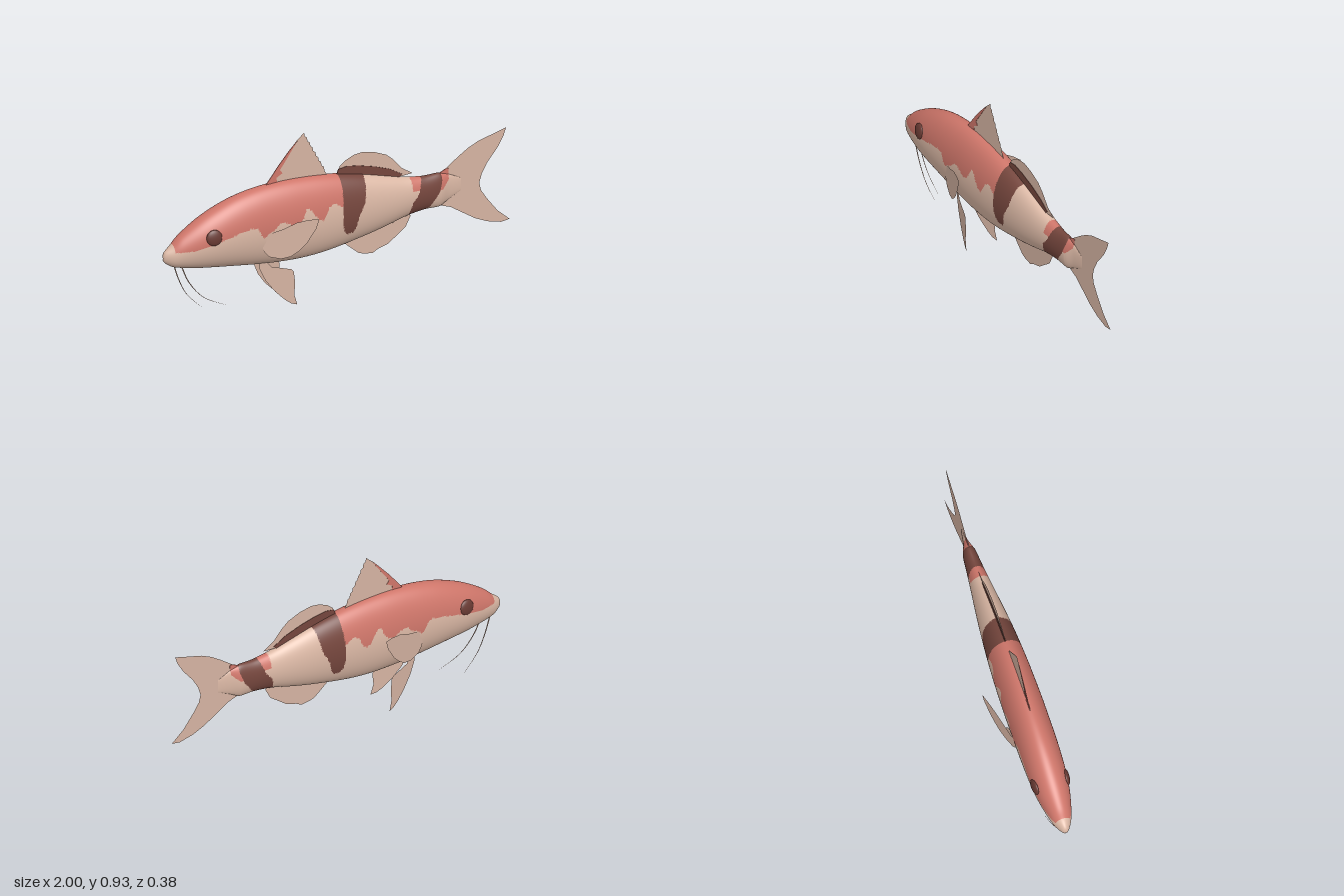
import * as THREE from 'three';

const mat = (name, color, side = THREE.FrontSide) => {
  const m = new THREE.MeshStandardMaterial({ color, side });
  m.name = name;
  return m;
};

// piecewise linear lookup through [key, value] pairs
function lerpTable(pts, k) {
  if (k <= pts[0][0]) return pts[0][1];
  for (let i = 1; i < pts.length; i++) {
    const [a, va] = pts[i - 1], [b, vb] = pts[i];
    if (k <= b) return va + (vb - va) * (k - a) / (b - a);
  }
  return pts[pts.length - 1][1];
}

// body stations: x, top, bottom, half width
const STATIONS = [
  [-1, 0.376, 0.368, 0.003], [-0.99, 0.407, 0.347, 0.018], [-0.95, 0.44, 0.319, 0.043],
  [-0.9, 0.487, 0.304, 0.062], [-0.8, 0.553, 0.284, 0.086], [-0.7, 0.602, 0.269, 0.098],
  [-0.6, 0.638, 0.255, 0.103], [-0.5, 0.66, 0.241, 0.105], [-0.4, 0.672, 0.229, 0.105],
  [-0.3, 0.676, 0.222, 0.105], [-0.2, 0.673, 0.22, 0.103], [-0.1, 0.665, 0.226, 0.1],
  [0, 0.651, 0.24, 0.095], [0.1, 0.631, 0.259, 0.088], [0.2, 0.605, 0.28, 0.079],
  [0.3, 0.577, 0.305, 0.068], [0.4, 0.55, 0.332, 0.056], [0.5, 0.535, 0.346, 0.045],
  [0.58, 0.536, 0.344, 0.037], [0.605, 0.53, 0.35, 0.031], [0.65, 0.515, 0.375, 0.014],
  [0.72, 0.48, 0.41, 0.002],
];

// lower edge of the red back, and the front and rear edges of the dark bands by height
const RED_EDGE = [
  [-0.95, 0.41], [-0.85, 0.415], [-0.7, 0.45], [-0.62, 0.472], [-0.53, 0.49], [-0.5, 0.48],
  [-0.48, 0.44], [-0.46, 0.42], [-0.44, 0.44], [-0.4, 0.46], [-0.37, 0.49], [-0.33, 0.48],
  [-0.29, 0.455], [-0.26, 0.46], [-0.235, 0.49], [-0.22, 0.53], [-0.2, 0.53], [-0.18, 0.51],
  [-0.15, 0.46], [-0.12, 0.45], [-0.1, 0.48], [-0.085, 0.515], [-0.05, 0.53], [-0.01, 0.5],
];
const BAND1_FRONT = [[0.335, 0.025], [0.36, 0.005], [0.42, -0.005], [0.65, 0.005]];
const BAND1_REAR = [[0.335, 0.06], [0.36, 0.075], [0.42, 0.09], [0.5, 0.13], [0.62, 0.15]];
const BAND2_FRONT = [[0.34, 0.4], [0.42, 0.42], [0.46, 0.455], [0.53, 0.48]];
const BAND2_REAR = [[0.34, 0.5], [0.37, 0.53], [0.4, 0.55], [0.44, 0.58], [0.5, 0.6]];
const CREAM = 0, RED = 1, BROWN = 2;

function skinColour(x, y) {
  const f1 = lerpTable(BAND1_FRONT, y), f2 = lerpTable(BAND2_FRONT, y);
  if (y > 0.335 && x > f1 && x < lerpTable(BAND1_REAR, y)) return BROWN;
  if (x > f2 && x < lerpTable(BAND2_REAR, y)) return BROWN;
  if (x > -0.945 && x <= f1 && y > lerpTable(RED_EDGE, x)) return RED;
  if (x > 0.42 && x <= f2 && y > 0.48) return RED;
  if (x > 0.57 && x < 0.645 && y > 0.45 + Math.max(0, x - 0.6)) return RED;
  return CREAM;
}

function bodyGeometry() {
  const COLS = 300, RING = 112;
  const [top, bottom, width] = [1, 2, 3].map(
    (k) => new THREE.SplineCurve(STATIONS.map((s) => new THREE.Vector2(s[0], s[k]))));
  const pos = [], buckets = [[], [], []];
  for (let i = 0; i <= COLS; i++) {
    const t = i / COLS, p = top.getPoint(t), b = bottom.getPoint(t).y, w = width.getPoint(t).y;
    for (let j = 0; j < RING; j++) {
      const a = j / RING * Math.PI * 2;
      pos.push(p.x, (p.y + b) / 2 + (p.y - b) / 2 * Math.cos(a), w * Math.sin(a));
    }
  }
  const tri = (...v) => {
    const mean = (k) => v.reduce((s, n) => s + pos[n * 3 + k], 0) / 3;
    buckets[skinColour(mean(0), mean(1))].push(...v);
  };
  for (let i = 0; i < COLS; i++) for (let j = 0; j < RING; j++) {
    const a = i * RING + j, b = i * RING + (j + 1) % RING;
    tri(a, b, a + RING);
    tri(b, b + RING, a + RING);
  }
  const geo = new THREE.BufferGeometry();
  geo.setAttribute('position', new THREE.Float32BufferAttribute(pos, 3));
  geo.setIndex(buckets.flat());
  let start = 0;
  buckets.forEach((bk, k) => { geo.addGroup(start, bk.length, k); start += bk.length; });
  geo.computeVertexNormals();
  return geo;
}

// flat fin outline in x and y
const shapeOf = (pts) => new THREE.Shape(pts.map(([x, y]) => new THREE.Vector2(x, y)));

export function createModel() {
  const fish = new THREE.Group();
  fish.name = 'fish';
  const cream = mat('cream skin', 0xdbb8a5);
  const red = mat('red skin', 0xcf766a);
  const brown = mat('brown band', 0x75463d);
  const finSkin = mat('fin membrane', 0xd5b3a2, THREE.DoubleSide);
  const eyeMat = mat('eye brown', 0x683a33);
  const add = (name, geo, material) => {
    const m = new THREE.Mesh(geo, material);
    m.name = name;
    fish.add(m);
    return m;
  };
  const fin = (name, pts) => add(name, new THREE.ShapeGeometry(shapeOf(pts)), finSkin);
  const patch = (name, pts, material) => {
    const g = new THREE.ExtrudeGeometry(shapeOf(pts), { depth: 0.004, bevelEnabled: false });
    return add(name, g.translate(0, 0, -0.002), material);
  };

  add('body', bodyGeometry(), [cream, red, brown]);

  // spiny first dorsal fin with a serrated rear edge
  const serrated = [];
  for (let i = 0; i < 8; i++) {
    const t = i / 8, x = -0.185 + 0.13 * t, y = 0.925 - 0.25 * t;
    serrated.push([x, y], [x + 0.004, y - 0.022]);
  }
  fin('first dorsal fin', [[-0.41, 0.665], [-0.33, 0.77], [-0.27, 0.84], [-0.23, 0.885],
    ...serrated, [-0.05, 0.65], [-0.2, 0.64]]);
  patch('dorsal fin red edge', [[-0.41, 0.665], [-0.33, 0.77], [-0.27, 0.84], [-0.225, 0.885],
    [-0.29, 0.79], [-0.325, 0.74], [-0.31, 0.72], [-0.345, 0.70], [-0.34, 0.66]], red);

  // second dorsal fin with its dark base
  fin('second dorsal fin', [[0, 0.64], [0.02, 0.69], [0.05, 0.715], [0.1, 0.738], [0.15, 0.745],
    [0.22, 0.73], [0.29, 0.7], [0.33, 0.665], [0.38, 0.605], [0.44, 0.565], [0.38, 0.56],
    [0.3, 0.56], [0.1, 0.61]]);
  patch('second dorsal dark base', [[0, 0.64], [0.012, 0.675], [0.06, 0.683], [0.13, 0.672],
    [0.22, 0.648], [0.31, 0.615], [0.38, 0.572], [0.36, 0.555], [0.3, 0.56], [0.1, 0.61]], brown);

  fin('anal fin', [[0.03, 0.26], [0.08, 0.215], [0.13, 0.172], [0.16, 0.162], [0.21, 0.155],
    [0.24, 0.172], [0.3, 0.19], [0.36, 0.235], [0.4, 0.265], [0.43, 0.325], [0.4, 0.345],
    [0.2, 0.31]]);

  // forked tail
  fin('tail fin', [[0.59, 0.53], [0.63, 0.55], [0.7, 0.602], [0.76, 0.642], [0.82, 0.67],
    [0.9, 0.692], [0.98, 0.715], [0.965, 0.67], [0.93, 0.61], [0.87, 0.535], [0.84, 0.48],
    [0.825, 0.43], [0.835, 0.385], [0.87, 0.33], [0.93, 0.25], [1, 0.187], [0.95, 0.18],
    [0.87, 0.2], [0.8, 0.232], [0.72, 0.285], [0.66, 0.325], [0.59, 0.35]]);
  patch('tail red spot', [[0.59, 0.53], [0.63, 0.55], [0.648, 0.55], [0.645, 0.515],
    [0.62, 0.475], [0.6, 0.46]], red);

  // paired fins splay outwards as they run back
  const pelvic = [[-0.46, 0.25], [-0.46, 0.22], [-0.43, 0.15], [-0.38, 0.08], [-0.33, 0.03],
    [-0.3, 0.008], [-0.27, 0], [-0.285, 0.06], [-0.28, 0.12], [-0.287, 0.19], [-0.3, 0.203],
    [-0.4, 0.225], [-0.42, 0.25]];
  const pectoral = [[-0.46, 0.435], [-0.37, 0.465], [-0.3, 0.498], [-0.24, 0.51], [-0.19, 0.51],
    [-0.205, 0.455], [-0.25, 0.38], [-0.29, 0.335], [-0.33, 0.306], [-0.38, 0.296],
    [-0.44, 0.312], [-0.465, 0.345], [-0.475, 0.39]];
  const splay = (pts, z0, slope, side) => {
    const g = new THREE.ShapeGeometry(shapeOf(pts)), p = g.attributes.position;
    for (let i = 0; i < p.count; i++) p.setZ(i, side * (z0 + slope * (p.getX(i) - pts[0][0])));
    g.computeVertexNormals();
    return g;
  };

  for (const [label, s] of [['left', 1], ['right', -1]]) {
    add(label + ' pelvic fin', splay(pelvic, 0.034, 0.31, s), finSkin);
    add(label + ' pectoral fin', splay(pectoral, 0.1, 0.33, s), finSkin);
    // eye as a shallow dome on the cheek
    const eye = add(label + ' eye', new THREE.SphereGeometry(0.043, 32, 20), eyeMat);
    eye.scale.z = 0.35;
    eye.position.set(-0.745, 0.475, s * 0.087);
    eye.rotation.set(-s * 0.14, -s * 0.12, 0);
  }

  // chin barbels, tapering to a point
  const barbels = {
    'left barbel': [[-0.9, 0.315, 0.018], [-0.86, 0.22, 0.02], [-0.78, 0.12, 0.026], [-0.65, 0.05, 0.036]],
    'right barbel': [[-0.93, 0.325, -0.018], [-0.9, 0.23, -0.02], [-0.85, 0.13, -0.026], [-0.76, 0.033, -0.036]],
  };
  for (const [name, pts] of Object.entries(barbels)) {
    const curve = new THREE.CatmullRomCurve3(pts.map((p) => new THREE.Vector3(...p)));
    const g = new THREE.TubeGeometry(curve, 24, 0.0035, 6), p = g.attributes.position;
    const v = new THREE.Vector3();
    for (let i = 0; i < p.count; i++) {
      const t = Math.floor(i / 7) / 24;
      v.fromBufferAttribute(p, i).lerp(curve.getPointAt(t), t * 0.9);
      p.setXYZ(i, v.x, v.y, v.z);
    }
    add(name, g, cream);
  }
  return fish;
}
